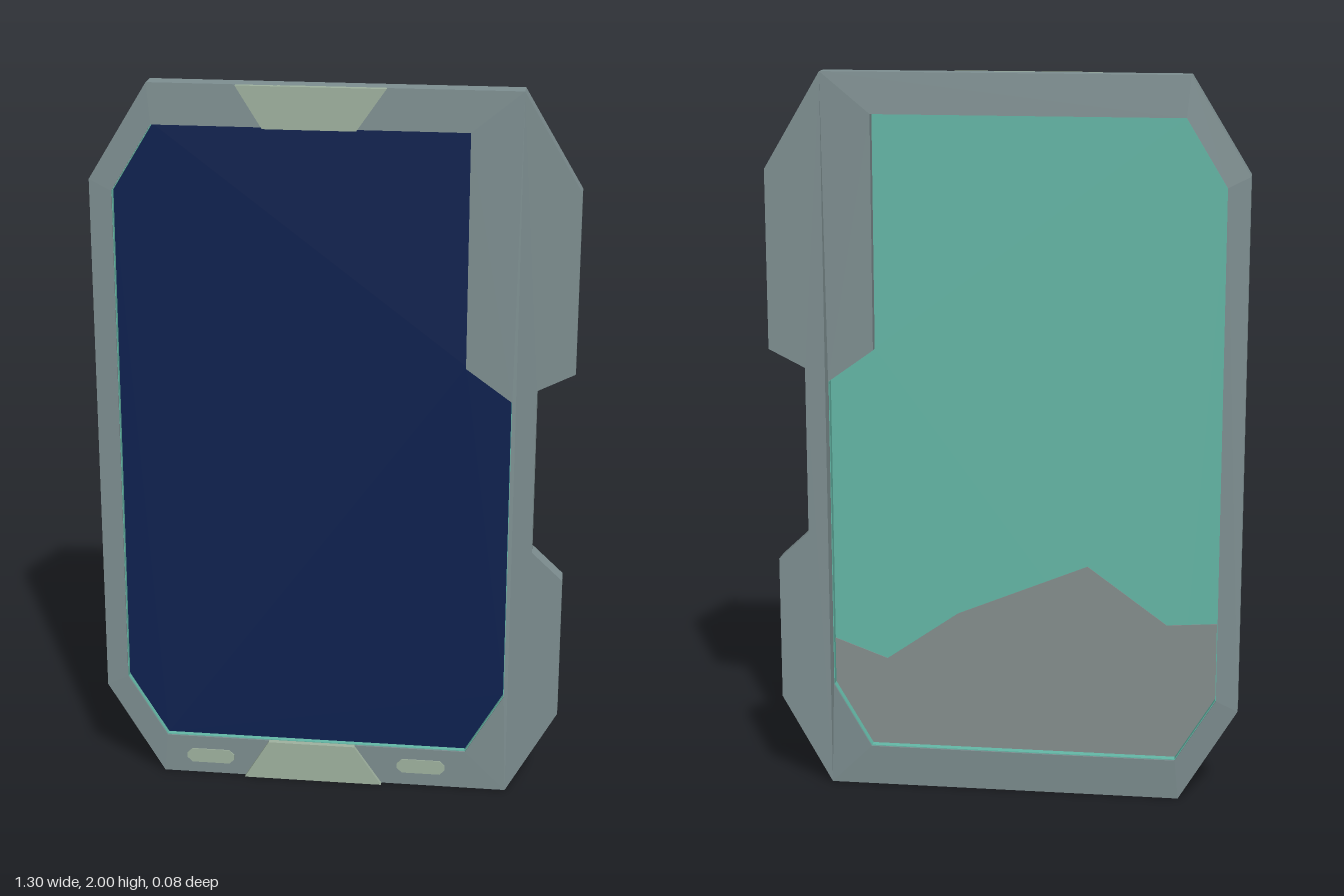
import * as THREE from 'three';

const mat = (name, color, side = THREE.FrontSide) => {
  const m = new THREE.MeshStandardMaterial({ color, side });
  m.name = name;
  return m;
};

// Corner points, anticlockwise from the lower left
const OUTLINE = [[-0.49, 0], [0.49, 0], [0.63, 0.25], [0.63, 0.655], [0.545, 0.735], [0.545, 1.2],
  [0.645, 1.25], [0.645, 1.74], [0.49, 2], [-0.49, 2], [-0.65, 1.74], [-0.65, 0.265]];
const OPENING = [[-0.48, 0.115], [0.375, 0.115], [0.48, 0.295], [0.48, 1.165], [0.355, 1.255],
  [0.355, 1.89], [-0.48, 1.89], [-0.59, 1.71], [-0.59, 0.295]];
const LIQUID = [[-0.48, 0.115], [0.375, 0.115], [0.48, 0.295], [0.48, 0.425], [0.33, 0.37],
  [0.13, 0.51], [-0.23, 0.66], [-0.45, 0.5], [-0.59, 0.51], [-0.59, 0.295]];

const vectors = (points) => points.map(([x, y]) => new THREE.Vector2(x, y));

// Flat plate between two depths
function plate(points, back, front, hole) {
  const shape = new THREE.Shape(vectors(points));
  if (hole) shape.holes.push(new THREE.Path(vectors(hole)));
  const geometry = new THREE.ExtrudeGeometry(shape, { depth: front - back, bevelEnabled: false });
  return geometry.translate(0, 0, back);
}

export function createModel() {
  const group = new THREE.Group();
  group.name = 'handheldTablet';
  const casing = mat('casing grey', 0x7f9092);
  const pale = mat('pale green', 0xa0b3a0);
  const navy = mat('screen navy', 0x0d2150);
  const teal = mat('teal', 0x65b9a8);
  const shade = mat('panel grey', 0x86908f);

  const add = (name, geometry, material) => {
    const mesh = new THREE.Mesh(geometry, material);
    mesh.name = name;
    group.add(mesh);
    return mesh;
  };

  // Casing, slightly thicker around the opening than at its rim
  const frame = plate(OUTLINE, -0.034, 0.022, OPENING);
  const pos = frame.attributes.position;
  for (let i = 0; i < pos.count; i++) {
    const inner = OPENING.some(([x, y]) => Math.hypot(pos.getX(i) - x, pos.getY(i) - y) < 0.001);
    if (inner) pos.setZ(i, pos.getZ(i) < 0 ? -0.041 : 0.025);
  }
  frame.computeVertexNormals();
  add('casing', frame, casing);

  // Screen, its clear back and the shaded area on the back
  add('screen', plate(OPENING, -0.004, 0.006), navy);
  add('backPanel', plate(OPENING, -0.014, -0.004), teal);
  add('backShading', plate(LIQUID, -0.016, -0.0138), shade);

  // Teal lining on the lower and side walls of the opening
  const lining = [6, 7, 8, 0, 1, 2, 3].map((i) => OPENING[i]);
  for (let i = 0; i < lining.length - 1; i++) {
    const [x1, y1] = lining[i];
    const [x2, y2] = lining[i + 1];
    const strip = new THREE.BoxGeometry(Math.hypot(x2 - x1, y2 - y1), 0.004, 0.056);
    const mesh = add('openingLining', strip, teal);
    mesh.position.set((x1 + x2) / 2, (y1 + y2) / 2, -0.008);
    mesh.rotation.z = Math.atan2(y2 - y1, x2 - x1);
  }

  // Raised tabs at the top and bottom
  add('topTab', plate([[-0.185, 1.888], [0.06, 1.888], [0.138, 2], [-0.255, 2]], 0.018, 0.036), pale);
  add('bottomTab', plate([[-0.255, 0], [0.138, 0], [0.06, 0.115], [-0.185, 0.115]], 0.018, 0.036), pale);

  // Small buttons with clipped corners
  for (const [x, y] of [[-0.355, 0.055], [0.25, 0.06]]) {
    const w = 0.068, h = 0.021, c = 0.014;
    const points = [[-w + c, -h], [w - c, -h], [w, -h + c], [w, h - c],
      [w - c, h], [-w + c, h], [-w, h - c], [-w, -h + c]];
    add('button', plate(points.map(([a, b]) => [a + x, b + y]), 0.02, 0.027), pale);
  }

  group.rotation.y = -0.006;
  return group;
}
